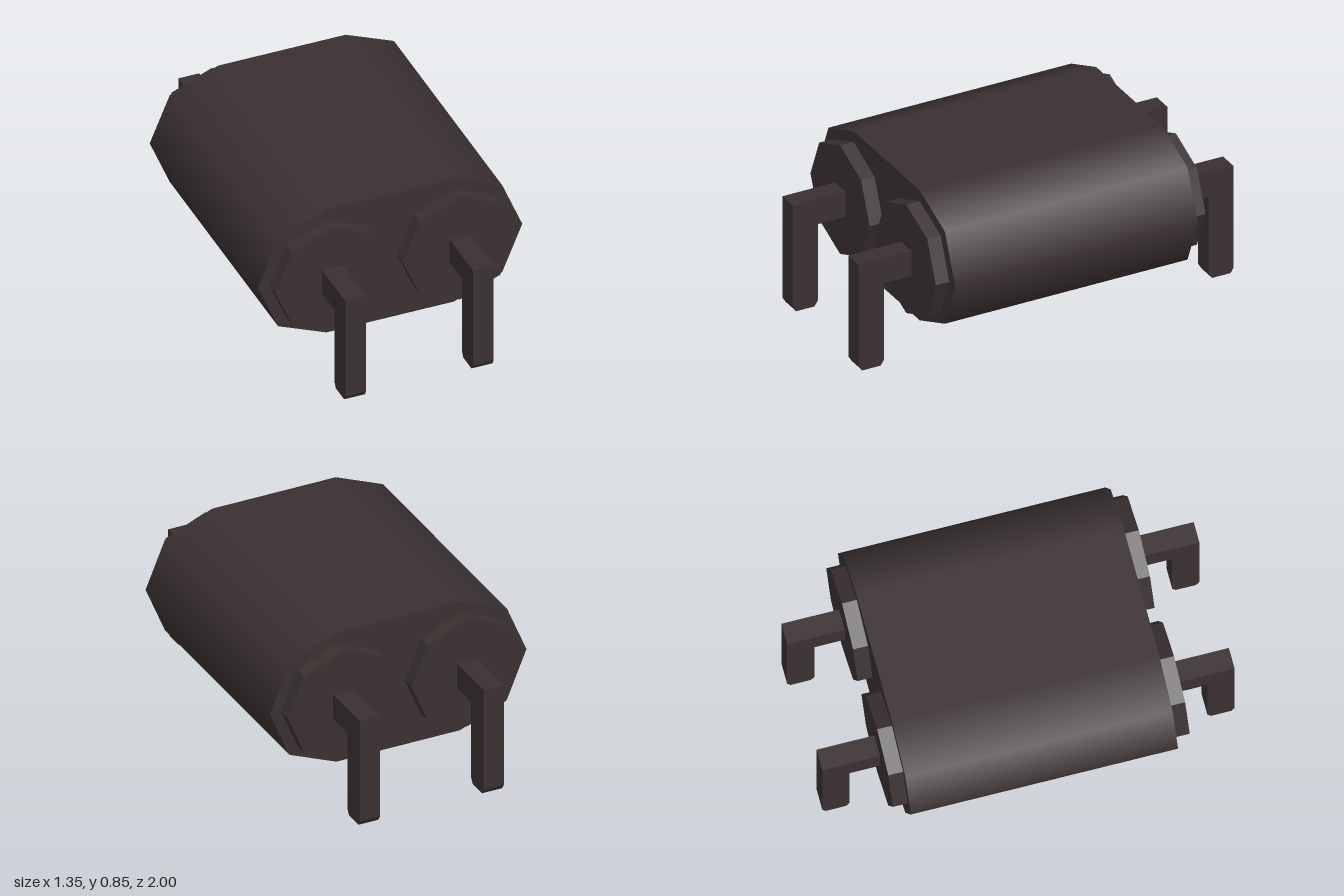
import * as THREE from 'three';

const AXIS_X = 0.325, AXIS_Y = 0.503;

// Extrudes a 2D outline to the given depth, centred on z = 0
function extrude(points, depth) {
  const shape = new THREE.Shape(points.map(([x, y]) => new THREE.Vector2(x, y)));
  const geometry = new THREE.ExtrudeGeometry(shape, { depth, bevelEnabled: false });
  return geometry.translate(0, 0, -depth / 2);
}

// Points on an eight-sided circle, from step a to step b
function arc(cx, radius, a, b) {
  const points = [];
  for (let i = a; i <= b; i++) {
    const t = (i * Math.PI) / 4;
    points.push([cx + radius * Math.cos(t), AXIS_Y + radius * Math.sin(t)]);
  }
  return points;
}

export function createModel() {
  const model = new THREE.Group();
  model.name = 'twinCoilComponent';
  const casing = new THREE.MeshStandardMaterial({ color: 0x3a3031 });
  casing.name = 'darkCasing';

  function add(name, geometry, parent = model) {
    const mesh = new THREE.Mesh(geometry, casing);
    mesh.name = name;
    parent.add(mesh);
    return mesh;
  }

  // Oblong body, with rounded shading on its sides and flat ends
  const body = extrude([...arc(AXIS_X, 0.349, -2, 2), ...arc(-AXIS_X, 0.349, 2, 6)], 1.296);
  const pos = body.attributes.position, nor = body.attributes.normal;
  for (let i = 0; i < pos.count; i++) {
    if (Math.abs(nor.getZ(i)) > 0.5) continue;
    const x = pos.getX(i);
    const n = new THREE.Vector2(x - Math.sign(x) * AXIS_X, pos.getY(i) - AXIS_Y).normalize();
    nor.setXYZ(i, n.x, n.y, 0);
  }
  add('body', body);

  // Bent lead outline as (z, y), with a chamfered foot
  const leadOutline = [
    [0.71, 0.437], [0.868, 0.437], [0.868, 0.028], [0.885, 0],
    [0.983, 0], [1, 0.028], [1, 0.57], [0.71, 0.57],
  ];
  const leadGeometry = extrude(leadOutline, 0.106).rotateY(-Math.PI / 2);
  const capGeometry = extrude(arc(0, 0.291, 0, 7), 0.08);

  // End cap and lead for each coil, front and back
  for (const end of [1, -1]) {
    const group = new THREE.Group();
    group.name = end > 0 ? 'frontEnd' : 'backEnd';
    if (end < 0) group.rotation.y = Math.PI;
    for (const side of [1, -1]) {
      add('endCap', capGeometry, group).position.set(side * AXIS_X, 0, 0.68);
      add('bentLead', leadGeometry, group).position.x = side * AXIS_X;
    }
    model.add(group);
  }
  return model;
}
